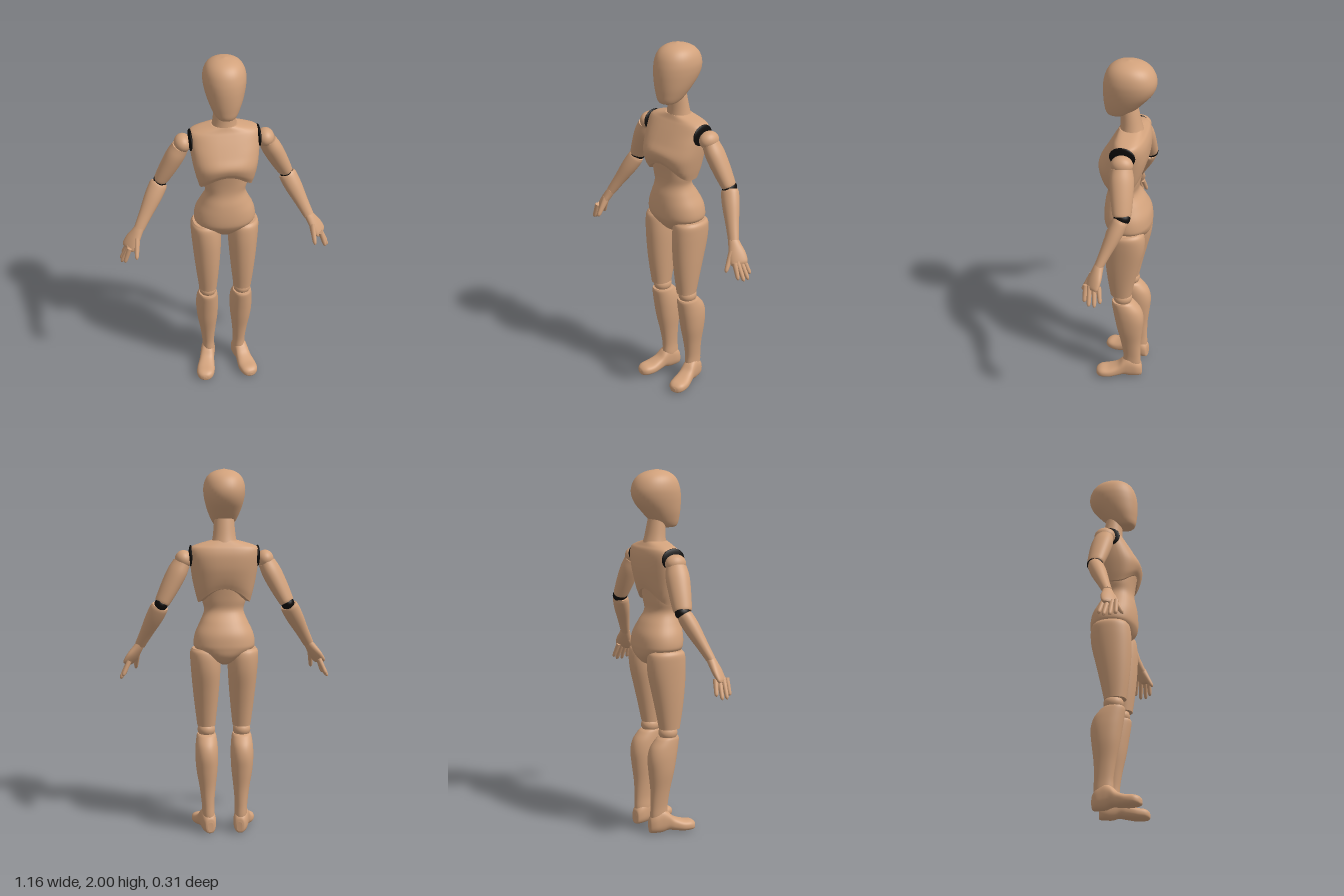
import * as THREE from 'three';

const SIDES = 40, STEPS = 5;

// Smooth capped loft up the y axis; each section is [y, centreX, halfWidth, zBack, zFront].
function loft(sections, power = 2, warp = null) {
  const pos = [], idx = [], rows = (sections.length - 1) * STEPS + 1;
  const columns = [];
  for (let j = 0; j < SIDES; j++) {
    const a = (j / SIDES) * Math.PI * 2, c = Math.cos(a), s = Math.sin(a);
    const px = Math.sign(c) * Math.abs(c) ** (2 / power);
    const pz = Math.sign(s) * Math.abs(s) ** (2 / power);
    const pts = sections.map(([y, cx, rx, zb, zf]) =>
      new THREE.Vector3(cx + rx * px, y, (zb + zf) / 2 + ((zf - zb) / 2) * pz));
    if (warp) pts.forEach(warp);
    columns.push(new THREE.CatmullRomCurve3(pts, false, 'catmullrom', 0.5).getPoints(rows - 1));
  }
  for (let i = 0; i < rows; i++) for (const col of columns) pos.push(...col[i].toArray());
  for (let i = 0; i < rows - 1; i++) {
    for (let j = 0; j < SIDES; j++) {
      const a = i * SIDES + j, b = i * SIDES + (j + 1) % SIDES;
      idx.push(a, a + SIDES, b, b, a + SIDES, b + SIDES);
    }
  }
  // end caps with their own vertices, so the rims stay sharp
  for (const i of [0, rows - 1]) {
    const start = pos.length / 3, mid = new THREE.Vector3();
    for (const col of columns) {
      pos.push(...col[i].toArray());
      mid.addScaledVector(col[i], 1 / SIDES);
    }
    pos.push(...mid.toArray());
    for (let j = 0; j < SIDES; j++) {
      const a = start + j, b = start + (j + 1) % SIDES;
      if (i === 0) idx.push(start + SIDES, a, b);
      else idx.push(start + SIDES, b, a);
    }
  }
  const geo = new THREE.BufferGeometry();
  geo.setAttribute('position', new THREE.Float32BufferAttribute(pos, 3));
  geo.setIndex(idx);
  geo.computeVertexNormals();
  return geo;
}

export function createModel() {
  const wood = new THREE.MeshStandardMaterial({ color: 0xd2a27c });
  wood.name = 'wood';
  const black = new THREE.MeshStandardMaterial({ color: 0x0c0a09 });
  black.name = 'black';
  const model = new THREE.Group();
  model.name = 'jointedFigure';
  const body = new THREE.Group();
  body.name = 'body';
  body.position.x = 0.01;
  model.add(body);

  const add = (name, geo, material = wood) => {
    const mesh = new THREE.Mesh(geo, material);
    mesh.name = name;
    body.add(mesh);
    return mesh;
  };
  const ball = (name, p, r, material) => {
    const mesh = add(name, new THREE.SphereGeometry(1, 28, 18), material);
    mesh.position.set(...p);
    mesh.scale.set(...r);
  };
  // Tapered limb from a to b; stations are [fraction, half width, half depth]
  const limb = (name, a, b, stations) => {
    const from = new THREE.Vector3(...a), dir = new THREE.Vector3(...b).sub(from);
    const len = dir.length();
    const mesh = add(name, loft(stations.map(([t, rx, rz]) => [t * len, 0, rx, -rz, rz])));
    mesh.position.copy(from);
    mesh.quaternion.setFromUnitVectors(new THREE.Vector3(0, 1, 0), dir.normalize());
  };

  // Head and neck
  add('head', loft([
    [1.69, 0, 0.022, 0.035, 0.088], [1.697, 0, 0.046, 0.005, 0.104], [1.715, 0, 0.061, -0.03, 0.114],
    [1.745, 0, 0.076, -0.063, 0.119], [1.78, 0, 0.090, -0.096, 0.123], [1.82, 0, 0.102, -0.131, 0.125],
    [1.86, 0, 0.110, -0.150, 0.124], [1.90, 0, 0.112, -0.152, 0.118], [1.94, 0, 0.103, -0.137, 0.104],
    [1.97, 0, 0.083, -0.109, 0.080], [1.99, 0, 0.050, -0.066, 0.044], [2.0, 0, 0.005, -0.015, -0.005],
  ], 2.1));
  add('neck', loft([
    [1.59, 0, 0.072, -0.094, 0.040], [1.65, 0, 0.061, -0.076, 0.035], [1.74, 0, 0.053, -0.056, 0.036],
  ]));

  // Chest with an arched lower rim
  add('chest', loft([
    [1.285, 0, 0.142, -0.085, 0.116], [1.34, 0, 0.157, -0.098, 0.136], [1.41, 0, 0.172, -0.110, 0.143],
    [1.48, 0, 0.182, -0.119, 0.116], [1.54, 0, 0.188, -0.120, 0.082], [1.58, 0, 0.184, -0.110, 0.058],
    [1.60, 0, 0.150, -0.096, 0.046], [1.622, 0, 0.070, -0.080, 0.037],
  ], 2.6, (p) => {
    const low = THREE.MathUtils.clamp((1.46 - p.y) / 0.175, 0, 1);
    p.y += 0.08 * low * Math.max(0, 1 - (p.x / 0.14) ** 2);
  }));

  // Waist and hips
  add('waistAndHips', loft([
    [0.95, 0, 0.022, -0.075, 0.025], [0.965, 0, 0.050, -0.104, 0.055], [1.0, 0, 0.108, -0.130, 0.088],
    [1.035, 0, 0.157, -0.138, 0.110], [1.065, 0, 0.168, -0.139, 0.119], [1.12, 0, 0.158, -0.131, 0.120],
    [1.18, 0, 0.130, -0.102, 0.114], [1.24, 0, 0.108, -0.066, 0.102], [1.30, 0, 0.120, -0.072, 0.105],
    [1.39, 0, 0.122, -0.087, 0.121],
  ], 2.2));

  for (const [side, s] of [['left', 1], ['right', -1]]) {
    const at = (x, y, z) => [s * x, y, z];
    const leg = (rows) => loft(rows.map(([y, cx, ...rest]) => [y, s * cx, ...rest]), 2.15);

    // Leg
    add(side + 'Thigh', leg([
      [0.595, 0.098, 0.050, -0.046, 0.072], [0.70, 0.099, 0.062, -0.068, 0.087],
      [0.80, 0.100, 0.072, -0.091, 0.097], [0.90, 0.101, 0.080, -0.114, 0.102],
      [0.97, 0.103, 0.083, -0.120, 0.100], [1.015, 0.105, 0.081, -0.114, 0.093],
      [1.035, 0.105, 0.070, -0.098, 0.078],
    ]));
    ball(side + 'Knee', at(0.098, 0.572, 0.004), [0.049, 0.045, 0.054]);
    add(side + 'Shin', leg([
      [0.06, 0.088, 0.032, -0.098, -0.008], [0.10, 0.090, 0.035, -0.101, 0.003],
      [0.16, 0.092, 0.035, -0.099, 0.002],
      [0.25, 0.094, 0.044, -0.100, 0.015], [0.35, 0.097, 0.058, -0.111, 0.036],
      [0.43, 0.098, 0.063, -0.117, 0.050], [0.49, 0.098, 0.061, -0.103, 0.060],
      [0.535, 0.098, 0.055, -0.068, 0.066], [0.55, 0.098, 0.050, -0.047, 0.062],
    ]));
    // Foot: swept heel to toe, as [z, centreX, half width, -top, -bottom]
    const foot = add(side + 'Foot', loft([
      [-0.058, 0, 0.016, -0.065, -0.010], [-0.052, 0, 0.029, -0.090, -0.002], [-0.025, 0, 0.040, -0.118, 0],
      [0.015, 0, 0.041, -0.135, 0], [0.050, 0, 0.041, -0.117, -0.010], [0.085, 0, 0.045, -0.084, -0.006],
      [0.135, 0, 0.052, -0.064, 0], [0.180, 0, 0.047, -0.058, 0], [0.203, 0, 0.030, -0.046, -0.004],
      [0.211, 0, 0.008, -0.032, -0.012],
    ], 2.5).rotateX(Math.PI / 2));
    foot.position.set(s * 0.093, 0, -0.05);
    foot.rotation.y = s * 0.22;

    // Arm
    const out = s > 0 ? 0 : 0.012;
    const shoulder = at(0.22, 1.52, -0.023), elbow = at(0.343, 1.28, -0.052);
    const wrist = at(0.46 + out, 1.045, 0.042);
    ball(side + 'ShoulderSocket', at(0.181, 1.538, -0.015), [0.012, 0.057, 0.069], black);
    ball(side + 'Shoulder', shoulder, [0.047, 0.049, 0.058]);
    limb(side + 'UpperArm', shoulder, elbow, [
      [0.08, 0.045, 0.055], [0.3, 0.051, 0.063], [0.6, 0.048, 0.059], [0.9, 0.040, 0.051], [0.97, 0.036, 0.046],
    ]);
    ball(side + 'ElbowJoint', elbow, [0.036, 0.037, 0.044], black);
    limb(side + 'Forearm', elbow, wrist, [
      [0.04, 0.037, 0.045], [0.12, 0.042, 0.049], [0.35, 0.041, 0.047], [0.7, 0.031, 0.036], [1, 0.024, 0.029],
    ]);

    // Hand
    limb(side + 'Palm', wrist, at(0.525 + out, 0.945, 0.065), [
      [-0.06, 0.022, 0.027], [0.2, 0.024, 0.034], [0.6, 0.023, 0.046], [0.95, 0.018, 0.046], [1.08, 0.010, 0.038],
    ]);
    const digit = [[0, 0.013, 0.014], [0.5, 0.012, 0.012], [0.88, 0.010, 0.010], [1, 0.003, 0.003]];
    const fingers = [ // knuckle z, then tip x, y, z
      [0.030, 0.556, 0.875, 0.014], [0.053, 0.569, 0.856, 0.042],
      [0.077, 0.567, 0.856, 0.073], [0.098, 0.550, 0.868, 0.100],
    ];
    fingers.forEach(([z, tx, ty, tz], i) => limb(side + 'Finger' + (i + 1),
      at(0.520 + out, 0.957, z), at(tx + out, ty, tz), digit));
    limb(side + 'Thumb', at(0.475 + out, 1.0, 0.070), at(0.486 + out, 0.898, 0.126), [
      [0, 0.016, 0.020], [0.5, 0.013, 0.015], [0.88, 0.010, 0.011], [1, 0.003, 0.003],
    ]);
  }
  return model;
}
